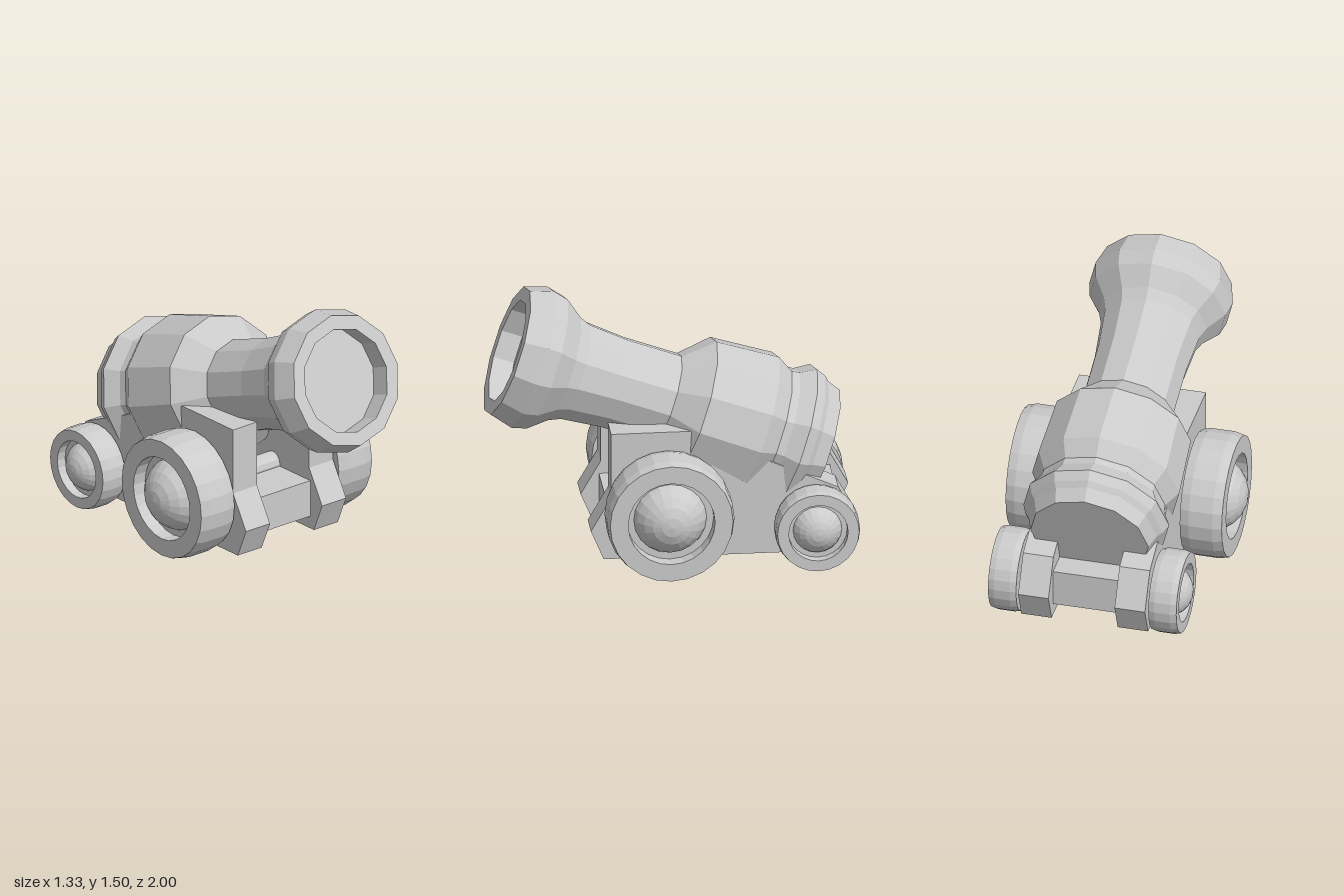
import * as THREE from 'three';

const material = new THREE.MeshStandardMaterial({ color: 0xcccccc, flatShading: true });

function part(name, geometry, parent) {
  const mesh = new THREE.Mesh(geometry, material);
  mesh.name = name;
  parent.add(mesh);
  return mesh;
}

const lathe = (points, sides) =>
  new THREE.LatheGeometry(points.map(([r, y]) => new THREE.Vector2(r, y)), sides);

// Wheel with a slightly convex tread, a recessed outer face and a round hub.
// Built along +y: y = 0 is the inner face.
function createWheel(name, { radius, width, hole, hub, reach }) {
  const wheel = new THREE.Group();
  wheel.name = name;
  const edge = radius * 0.965;
  part('rim', lathe([
    [0, 0], [edge, 0], [radius, width * 0.22], [radius, width * 0.78],
    [edge, width], [hole, width], [hole, width * 0.65], [0, width * 0.65],
  ], 24), wheel);
  part('hub', new THREE.SphereGeometry(hub, 20, 12), wheel).position.y = reach - hub;
  return wheel;
}

export function createModel() {
  const model = new THREE.Group();
  model.name = 'cannon';

  // Barrel: turned profile [radius, distance from muzzle], rear to front, then the bore
  const barrel = part('barrel', lathe([
    [0, -1.813], [0.33, -1.813], [0.36, -1.735], [0.385, -1.706], [0.408, -1.652],
    [0.36, -1.568], [0.355, -1.524], [0.412, -1.43], [0.393, -1.076],
    [0.256, -0.92], [0.256, -0.61], [0.277, -0.382], [0.303, -0.317],
    [0.381, -0.213], [0.402, -0.13], [0.365, 0],
    [0.288, 0], [0.288, -0.12], [0, -0.12],
  ], 12), model);
  barrel.position.set(0, 1.16, 0.88);
  barrel.rotation.x = THREE.MathUtils.degToRad(70);

  // Carriage cheeks: side outline [z, y], extruded across x
  const outline = new THREE.Shape([
    [0.35, 0.79], [-0.08, 0.79], [-0.89, 0.43], [-1, 0.23],
    [-0.93, 0.06], [0.39, 0.06], [0.46, 0.225], [0.35, 0.415],
  ].map(([z, y]) => new THREE.Vector2(-z, y)));
  const cheek = new THREE.ExtrudeGeometry(outline, { depth: 0.17, bevelEnabled: false });
  cheek.rotateY(Math.PI / 2);
  part('leftCheek', cheek, model).position.x = 0.185;
  part('rightCheek', cheek, model).position.x = -0.355;

  // Bed between the cheeks
  part('bed', new THREE.BoxGeometry(0.37, 0.21, 1.26), model).position.set(0, 0.237, -0.27);

  // Wheels and axles
  const axles = [
    { name: 'front', y: 0.352, z: 0.045, radius: 0.348, width: 0.235, hole: 0.237, hub: 0.213, reach: 0.295 },
    { name: 'rear', y: 0.233, z: -0.764, radius: 0.231, width: 0.157, hole: 0.162, hub: 0.145, reach: 0.193 },
  ];
  for (const spec of axles) {
    for (const side of [1, -1]) {
      const wheel = createWheel(spec.name + (side > 0 ? 'LeftWheel' : 'RightWheel'), spec);
      wheel.position.set(side * 0.37, spec.y, spec.z);
      wheel.rotation.z = -side * Math.PI / 2;
      model.add(wheel);
    }
    const axle = part(spec.name + 'Axle', new THREE.CylinderGeometry(0.06, 0.06, 0.76, 12), model);
    axle.position.set(0, spec.y, spec.z);
    axle.rotation.z = Math.PI / 2;
  }

  return model;
}
